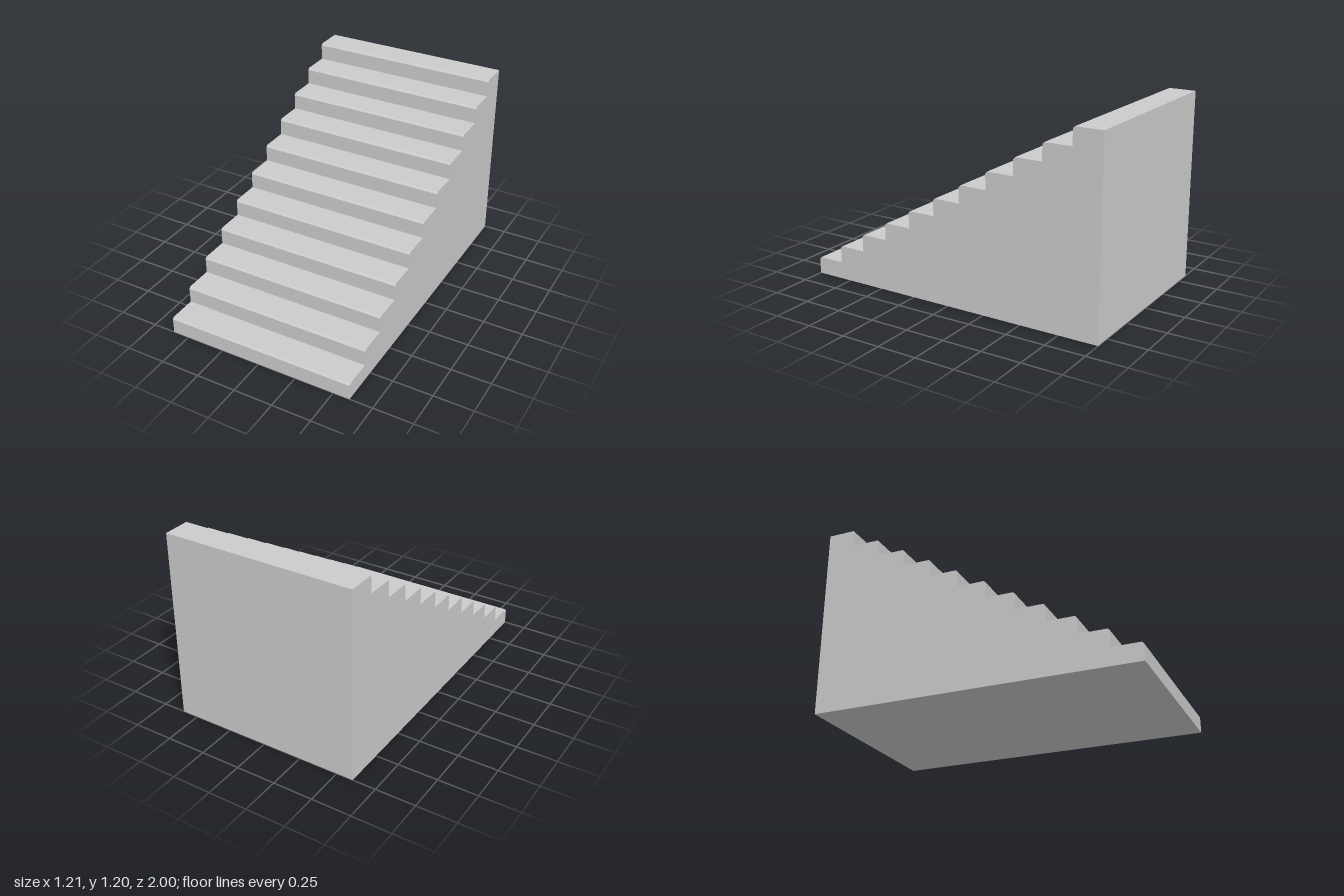
import * as THREE from 'three';

const STEPS = 11;
const WIDTH = 1.21;
const HEIGHT = 1.2;
const LENGTH = 2;
const CHAMFER = 0.0115;

export function createModel() {
  const group = new THREE.Group();
  group.name = 'staircase';
  const rise = HEIGHT / STEPS;
  const tread = LENGTH / STEPS;

  // Side profile: shape x is depth (front at +1), shape y is height
  const profile = new THREE.Shape();
  profile.moveTo(-LENGTH / 2, 0);
  profile.lineTo(LENGTH / 2, 0);
  for (let i = 0; i < STEPS; i++) {
    const front = LENGTH / 2 - i * tread;
    const top = (i + 1) * rise;
    // Riser, chamfered nosing, tread
    profile.lineTo(front, top - CHAMFER);
    profile.lineTo(front - CHAMFER, top);
    profile.lineTo(front - tread, top);
  }
  profile.closePath();

  // Solid block of steps, extruded across the width
  const geometry = new THREE.ExtrudeGeometry(profile, { depth: WIDTH, bevelEnabled: false });
  geometry.translate(0, 0, -WIDTH / 2);
  geometry.rotateY(-Math.PI / 2);

  const material = new THREE.MeshStandardMaterial({ color: 0xcccccc, flatShading: true });
  const stairs = new THREE.Mesh(geometry, material);
  stairs.name = 'steps';
  group.add(stairs);
  return group;
}
